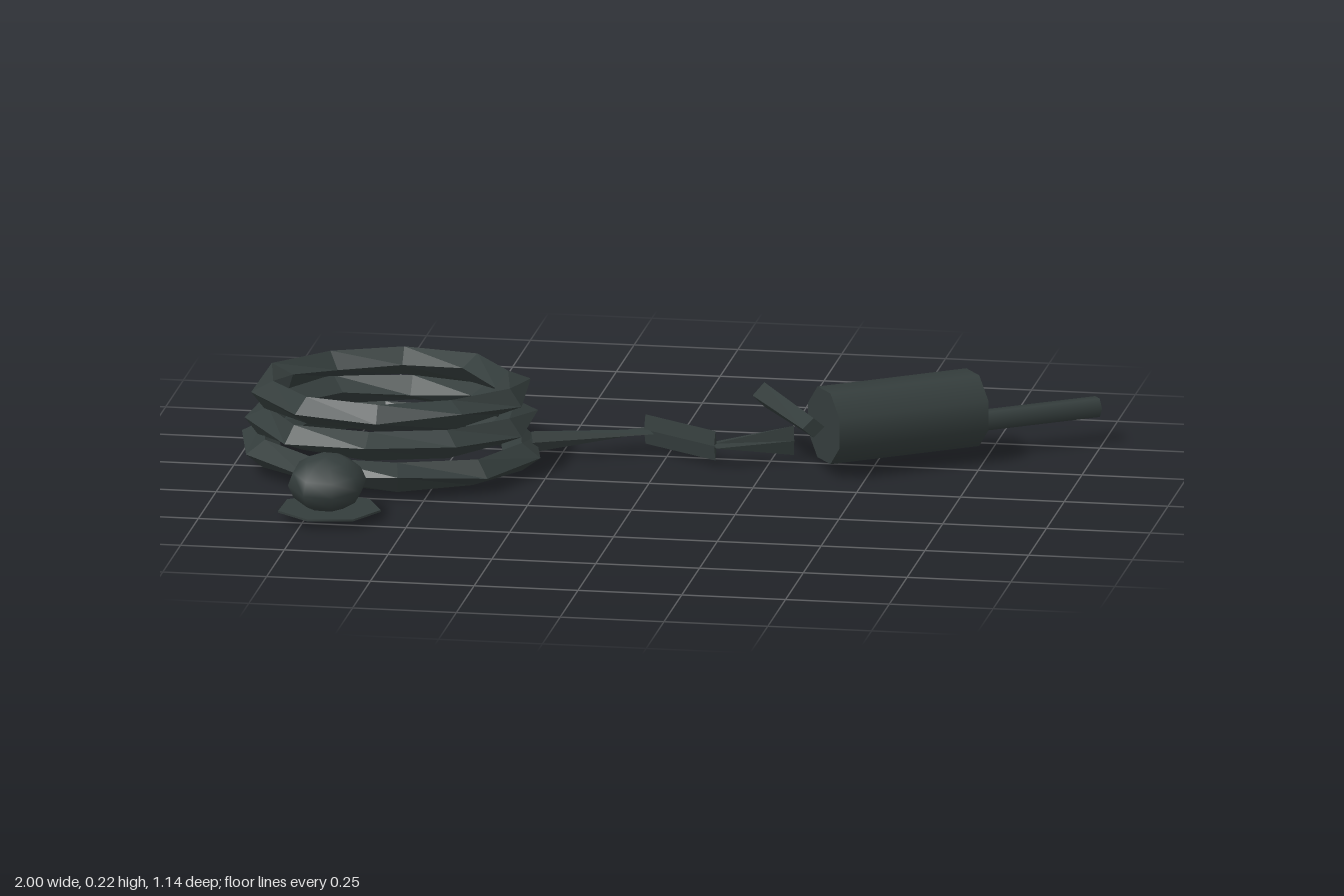
import * as THREE from 'three';

const V = (x, y, z) => new THREE.Vector3(x, y, z);
const UP = V(0, 1, 0);

// Diamond cross-section: half width across the path, half height upward, rolled about the path
function section(centre, tangent, w, h, roll = 0) {
  const side = V(-tangent.z, 0, tangent.x).normalize();
  const pts = [];
  for (let k = 0; k < 4; k++) {
    const a = k * Math.PI / 2 + roll;
    pts.push(centre.clone().addScaledVector(side, w * Math.cos(a)).addScaledVector(UP, h * Math.sin(a)));
  }
  return pts;
}

// Faceted skin over a row of cross-sections
function loft(rings, closed) {
  const out = [];
  const tri = (...p) => p.forEach(q => out.push(q.x, q.y, q.z));
  const n = rings[0].length;
  for (let i = 0; i < rings.length - (closed ? 0 : 1); i++) {
    const a = rings[i], b = rings[(i + 1) % rings.length];
    for (let k = 0; k < n; k++) {
      const m = (k + 1) % n;
      tri(a[k], b[k], a[m]);
      tri(a[m], b[k], b[m]);
    }
  }
  if (!closed) {
    const a = rings[0], b = rings[rings.length - 1];
    for (let k = 1; k < n - 1; k++) {
      tri(a[0], a[k], a[k + 1]);
      tri(b[0], b[k + 1], b[k]);
    }
  }
  const g = new THREE.BufferGeometry();
  g.setAttribute('position', new THREE.Float32BufferAttribute(out, 3));
  g.computeVertexNormals();
  return g;
}

export function createModel() {
  const model = new THREE.Group();
  model.name = 'coiledWireAndCapsule';
  const dark = new THREE.MeshStandardMaterial({ color: 0x343d3c, side: THREE.DoubleSide });
  dark.name = 'darkGreyGreen';

  const add = (name, geometry) => {
    const m = new THREE.Mesh(geometry, dark);
    m.name = name;
    model.add(m);
    return m;
  };

  // Coil: three stacked, slightly tilted ten-sided loops
  const centre = V(-0.635, 0, -0.08);
  [
    { name: 'lowerLoop', r: 0.322, y: 0.042, w: 0.046, start: 0.1 },
    { name: 'middleLoop', r: 0.307, y: 0.112, w: 0.046, start: 0.32 },
    { name: 'upperLoop', r: 0.297, y: 0.18, w: 0.044, start: 0.25 },
  ].forEach(({ name, r, y, w, start }, j) => {
    const rings = [];
    for (let i = 0; i < 10; i++) {
      const a = start + i * Math.PI / 5;
      const x = r * Math.cos(a), z = r * Math.sin(a);
      const p = V(centre.x + x, y + 0.026 * z - (j < 1 ? 0.02 * x : 0), centre.z + z);
      rings.push(section(p, V(-Math.sin(a), 0, Math.cos(a)), w, 0.034, 0.3 * Math.sin(i * 2.4 + j)));
    }
    add(name, loft(rings, true));
  });

  // Kinked lead: flat strips that twist from bend to bend; ends are [position, half width, half height]
  const strip = (name, [p, w0, h0], [q, w1, h1]) => {
    const t = q.clone().sub(p);
    add(name, loft([section(p, t, w0, h0), section(q, t, w1, h1)], false));
  };
  strip('leadFromCoil', [V(-0.31, 0.045, -0.155), 0.01, 0.026], [V(-0.05, 0.047, -0.295), 0.034, 0.004]);
  strip('leadFirstBend', [V(-0.06, 0.05, -0.3), 0.005, 0.036], [V(0.13, 0.05, -0.175), 0.005, 0.036]);
  strip('leadSecondBend', [V(0.125, 0.05, -0.177), 0.03, 0.004], [V(0.305, 0.05, -0.255), 0.005, 0.036]);
  strip('leadToCapsule', [V(0.375, 0.118, -0.125), 0.028, 0.024], [V(0.21, 0.122, -0.395), 0.03, 0.03]);

  // Capsule and rod lie along one slanted axis
  const bar = (name, p, q, radius, sides, turn) => {
    const d = q.clone().sub(p);
    const g = new THREE.CylinderGeometry(radius, radius, d.length(), sides);
    g.rotateY(turn);
    const m = add(name, g);
    m.position.copy(p).add(q).multiplyScalar(0.5);
    // Turn the cylinder's own axis to +x, then to the slanted direction
    m.rotation.set(0, Math.atan2(-d.z, d.x), -Math.PI / 2);
    m.rotation.order = 'YXZ';
  };
  bar('capsule', V(0.395, 0.118, -0.153), V(0.715, 0.118, -0.378), 0.094, 8, Math.PI / 8);
  bar('rod', V(0.735, 0.085, -0.382), V(0.985, 0.085, -0.555), 0.026, 6, 0);

  // Small rounded knob on a flat seven-sided base
  const knob = add('knob', new THREE.SphereGeometry(0.094, 8, 6));
  knob.scale.set(1, 0.7, 1);
  knob.position.set(-0.7, 0.085, 0.44);
  knob.rotation.set(0.2, 0.3, 0);
  const base = add('knobBase', new THREE.CylinderGeometry(0.125, 0.125, 0.005, 7));
  base.position.set(-0.695, 0.021, 0.44);
  base.rotation.y = -0.25;

  return model;
}
